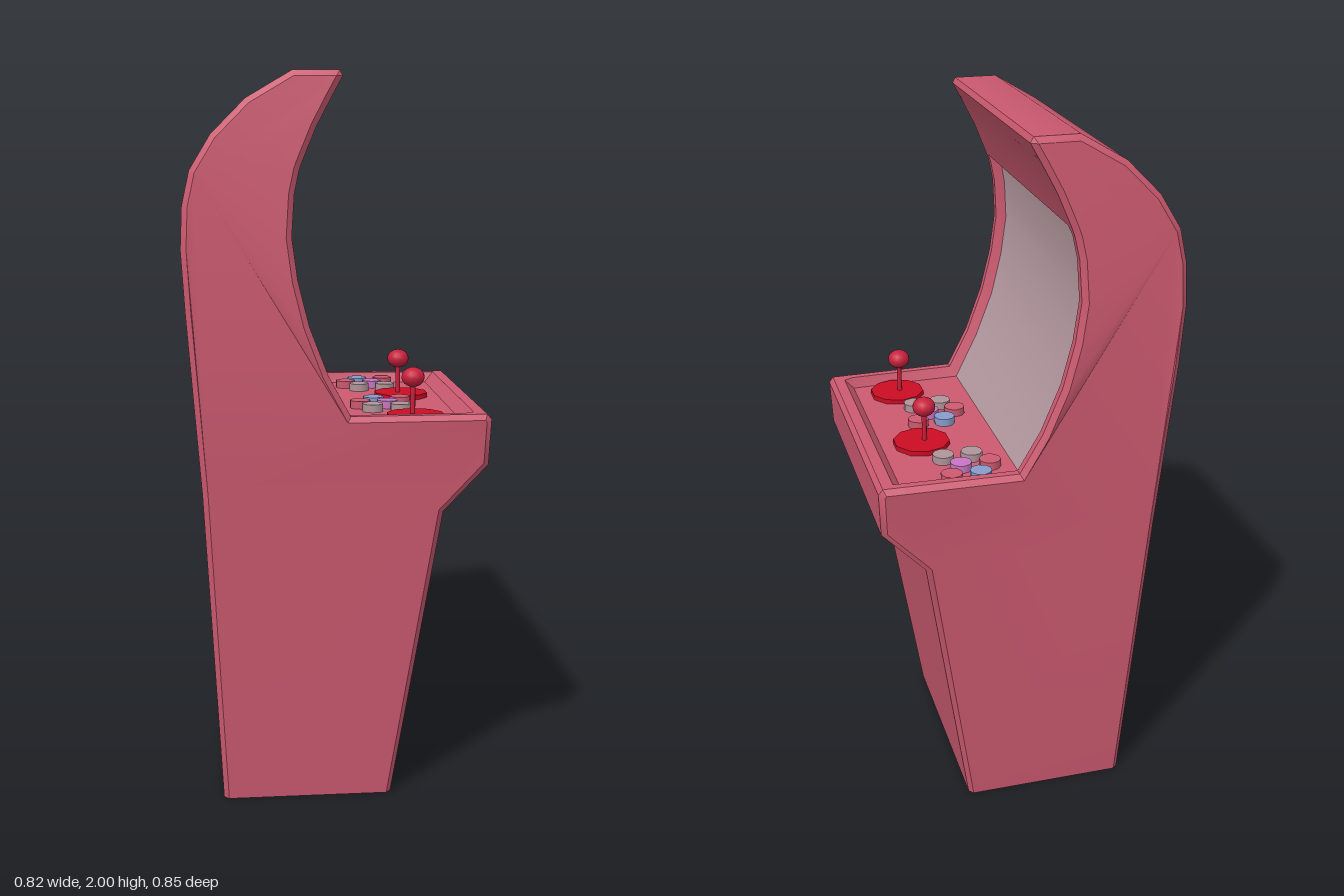
import * as THREE from 'three';
import { toCreasedNormals } from 'three/addons/utils/BufferGeometryUtils.js';

const paint = (name, color) => Object.assign(new THREE.MeshStandardMaterial({ color }), { name });

// Side outline, counter-clockwise; front is +x
const OUTLINE = [
  [-0.32, 0], [0.155, 0], [0.285, 0.84], [0.405, 0.97], [0.41, 1.095], [0.398, 1.11],
  [0.367, 1.11], [0.34, 1.11], [0.03, 1.11],
  [-0.03, 1.22], [-0.08, 1.35], [-0.11, 1.47], [-0.125, 1.58], [-0.118, 1.69], [-0.105, 1.75],
  [-0.098, 1.77], [-0.06, 1.86], [-0.02, 1.935], [0.008, 1.985], [0, 2], [-0.12, 2],
  [-0.24, 1.93], [-0.33, 1.84], [-0.385, 1.75], [-0.405, 1.66], [-0.41, 1.55], [-0.4, 1.38], [-0.365, 0.9],
];
// Points pushed inward between the side walls: control deck, then screen
const RECESS = {
  7: [0.34, 1.08], 8: [0.012, 1.08], 9: [-0.055, 1.21], 10: [-0.107, 1.34], 11: [-0.137, 1.465],
  12: [-0.152, 1.58], 13: [-0.145, 1.69], 14: [-0.13, 1.765],
};
const isScreen = (i) => i >= 8 && i <= 13;
const DECK = 1.08;

// Half width by height, narrowing slightly to the front
const WIDTHS = [[0, 0.325], [0.9, 0.397], [1.11, 0.411], [1.35, 0.423], [1.55, 0.425], [1.77, 0.413], [2, 0.395]];
function halfWidth(x, y) {
  let k = 1;
  while (k < WIDTHS.length - 1 && y > WIDTHS[k][0]) k++;
  const [y0, w0] = WIDTHS[k - 1], [y1, w1] = WIDTHS[k];
  return w0 + (w1 - w0) * (y - y0) / (y1 - y0) - 0.025 * Math.max(0, x);
}

// Shrinks the outline for the chamfer, leaving the base on the floor
function inset(points, d) {
  const n = points.length;
  return points.map((p, i) => {
    const normal = (a, b) => {
      const l = Math.hypot(b[0] - a[0], b[1] - a[1]);
      return [-(b[1] - a[1]) / l, (b[0] - a[0]) / l];
    };
    const u = normal(points[(i + n - 1) % n], p), v = normal(p, points[(i + 1) % n]);
    const s = d / Math.max(0.4, 1 + u[0] * v[0] + u[1] * v[1]);
    return [p[0] + (u[0] + v[0]) * s, p[1] === 0 ? 0 : p[1] + (u[1] + v[1]) * s];
  });
}

// Body and screen skins from rings running left to right
function buildCabinet() {
  const inner = OUTLINE.map((p, i) => RECESS[i] || p);
  const chamfer = inset(OUTLINE, 0.015);
  const ring = (profile, depth, side) => profile.map(([x, y], i) =>
    [x, y, side * (halfWidth(...OUTLINE[i]) - depth)]);
  const half = [[chamfer, 0], [OUTLINE, 0.013], [OUTLINE, 0.035], [inner, 0.048]];
  const rings = [
    ...half.map(([p, d]) => ring(p, d, 1)),
    ...half.slice().reverse().map(([p, d]) => ring(p, d, -1)),
  ];
  const body = [], screen = [], n = OUTLINE.length;
  for (let r = 0; r < rings.length - 1; r++) {
    for (let i = 0; i < n; i++) {
      const j = (i + 1) % n, a = rings[r], b = rings[r + 1];
      const target = r === 3 && isScreen(i) ? screen : body;
      target.push(...a[i], ...b[i], ...a[j], ...b[i], ...b[j], ...a[j]);
    }
  }
  // Side faces
  const left = rings[0], right = rings[rings.length - 1];
  const contour = chamfer.map(([x, y]) => new THREE.Vector2(x, y));
  for (const [a, b, c] of THREE.ShapeUtils.triangulateShape(contour, [])) {
    body.push(...left[a], ...left[b], ...left[c], ...right[a], ...right[c], ...right[b]);
  }
  return [body, screen].map((data) => {
    const g = new THREE.BufferGeometry();
    g.setAttribute('position', new THREE.Float32BufferAttribute(data, 3));
    return toCreasedNormals(g, 0.55);
  });
}

export function createModel() {
  const mat = {
    body: paint('rose body', 0xcc5a70),
    screen: paint('grey screen', 0xb79ba2),
    plate: paint('bright red', 0xcc0c22),
    ball: paint('crimson', 0xc8203c),
    blue: paint('soft blue', 0x889ccc),
    purple: paint('soft purple', 0xc876c4),
    grey: paint('button grey', 0xb0959a),
  };
  const model = new THREE.Group();
  model.name = 'arcadeCabinet';
  const add = (parent, name, geometry, material, x = 0, y = 0, z = 0) => {
    const m = new THREE.Mesh(geometry, material);
    m.name = name;
    m.position.set(x, y, z);
    parent.add(m);
    return m;
  };

  const [bodyGeo, screenGeo] = buildCabinet();
  add(model, 'cabinetBody', bodyGeo, mat.body);
  add(model, 'screen', screenGeo, mat.screen);

  // Two sets of controls: joystick plus six buttons
  const buttonGeo = new THREE.CylinderGeometry(0.03, 0.03, 0.022, 10);
  const plateGeo = new THREE.CylinderGeometry(0.08, 0.08, 0.014, 10);
  const stickGeo = new THREE.CylinderGeometry(0.007, 0.007, 0.1, 8);
  const ballGeo = new THREE.SphereGeometry(0.032, 16, 10);
  const players = [
    { name: 'rightControls', plate: [0.227, -0.088], ball: [0.218, -0.089], buttons: [
      ['blue', 0.118, -0.329], ['body', 0.198, -0.327], ['body', 0.077, -0.27],
      ['purple', 0.158, -0.268], ['grey', 0.113, -0.21], ['grey', 0.193, -0.208]] },
    { name: 'leftControls', plate: [0.22, 0.275], ball: [0.212, 0.275], buttons: [
      ['blue', 0.13, 0.036], ['body', 0.208, 0.035], ['body', 0.086, 0.095],
      ['purple', 0.164, 0.095], ['grey', 0.115, 0.154], ['grey', 0.195, 0.153]] },
  ];
  for (const p of players) {
    const g = new THREE.Group();
    g.name = p.name;
    model.add(g);
    add(g, 'joystickPlate', plateGeo, mat.plate, p.plate[0], DECK + 0.007, p.plate[1]);
    add(g, 'joystickShaft', stickGeo, mat.ball, p.ball[0], DECK + 0.055, p.ball[1]);
    add(g, 'joystickBall', ballGeo, mat.ball, p.ball[0], 1.195, p.ball[1]).scale.y = 0.85;
    for (const [color, x, z] of p.buttons) add(g, 'button', buttonGeo, mat[color], x, DECK + 0.011, z);
  }
  return model;
}
